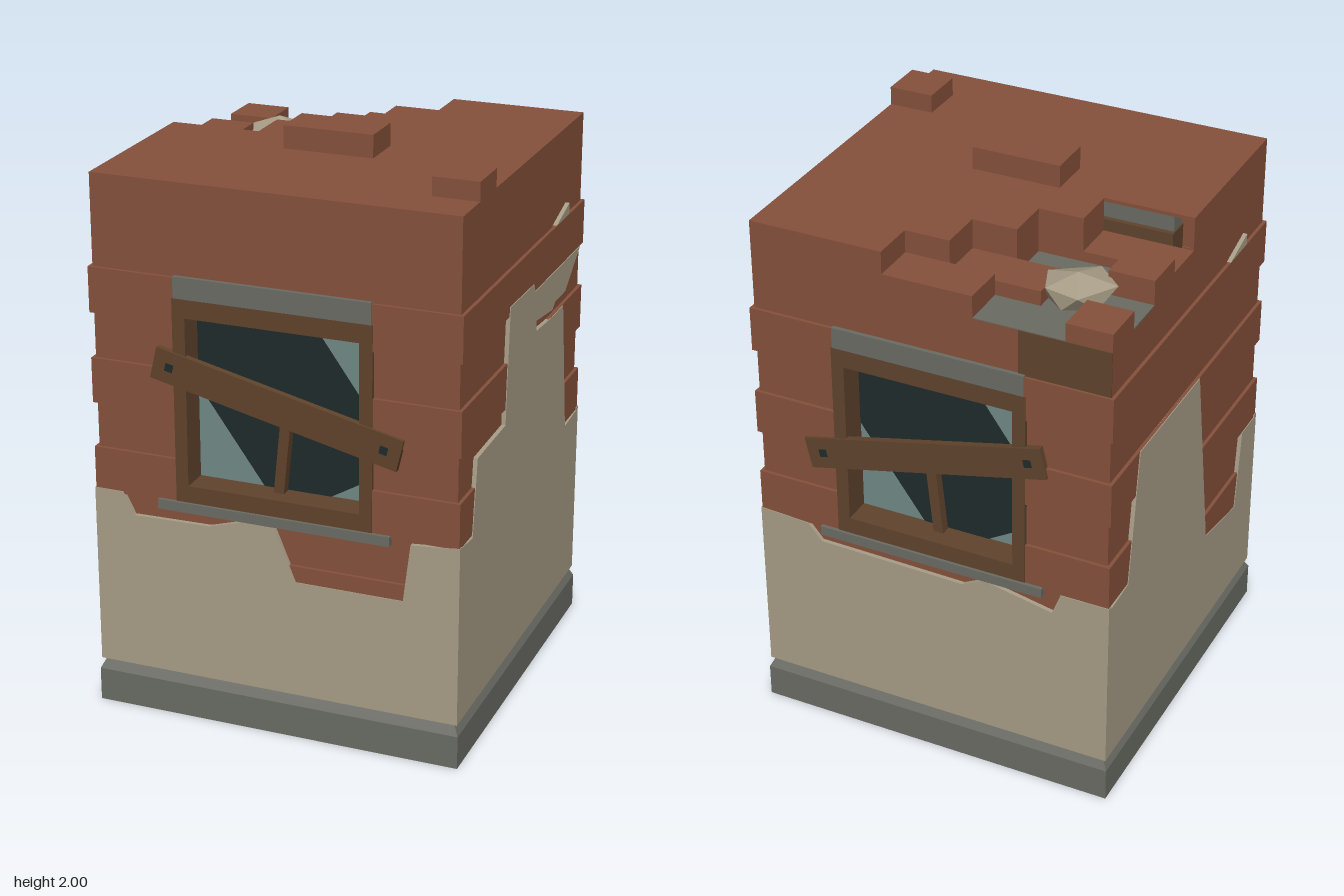
import * as THREE from 'three';
import { ConvexGeometry } from 'three/addons/geometries/ConvexGeometry.js';

const mat = (name, color) => new THREE.MeshStandardMaterial({ name, color });

export function createModel() {
  const root = new THREE.Group();
  root.name = 'ruinedBrickTower';
  const brick = mat('brick', 0x86513b);
  const plaster = mat('plaster', 0xa89d87);
  const stone = mat('grey stone', 0x6a6c64);
  const wood = mat('wood', 0x60432c);
  const darkGlass = mat('dark glass', 0x202b2b);
  const lightGlass = mat('light glass', 0x718986);

  const add = (name, geo, m, parent = root) => {
    const mesh = new THREE.Mesh(geo, m);
    mesh.name = name;
    parent.add(mesh);
    return mesh;
  };
  // box given by its low and high bounds on each axis
  const box = (name, m, [x0, x1], [y0, y1], [z0, z1], parent = root) => {
    const b = add(name, new THREE.BoxGeometry(x1 - x0, y1 - y0, z1 - z0), m, parent);
    b.position.set((x0 + x1) / 2, (y0 + y1) / 2, (z0 + z1) / 2);
    return b;
  };
  const shapeOf = pts => new THREE.Shape(pts.map(p => new THREE.Vector2(p[0], p[1])));
  const slab = (pts, depth) => new THREE.ExtrudeGeometry(shapeOf(pts), { depth, bevelEnabled: false });

  // thin square foundation skirt with a chamfered top edge, open below
  const ring = [[0.654, 0], [0.66, 0], [0.66, 0.12], [0.64, 0.16], [0.632, 0.16], [0.654, 0.118], [0.654, 0]]
    .map(([r, y]) => new THREE.Vector2(r * Math.SQRT2, y));
  const baseGeo = new THREE.LatheGeometry(ring, 4, Math.PI / 4).toNonIndexed();
  baseGeo.computeVertexNormals();
  add('foundation', baseGeo, stone);

  // thin brick courses, every other one standing slightly proud, open at the windows
  const H = 0.16;
  for (let k = 1; k <= 10; k++) {
    const proud = k % 2 === 1 && k > 1;
    const o = proud ? 0.652 : 0.64, i = proud ? 0.632 : 0.627;
    const y = [k * H, (k + 1) * H];
    const spans = k >= 5 && k <= 9 ? [[-i, -0.345], [0.345, i]] : [[-i, i]];
    for (const s of [-1, 1]) {
      const t = s > 0 ? [i, o] : [-o, -i];
      box('sideCourse', brick, t, y, [-o, o]);
      for (const span of spans) box('endCourse', brick, span, y, t);
    }
  }

  // top course and roof, whole on three quarters of the plan
  const W = 0.64, I = 0.627, top = [1.76, 1.92], skin = [1.907, 1.92];
  box('topFront', brick, [-W, W], top, [I, W]);
  box('topLeftSide', brick, [I, W], top, [-W, I]);
  box('topRightSide', brick, [-W, -I], top, [0, I]);
  box('topBack', brick, [0.16, I], top, [-W, -I]);
  box('roof', brick, [-I, I], skin, [0, I]);
  box('roof', brick, [0.16, I], skin, [-I, 0]);

  // broken quarter: where the full height starts, then the half-lost bricks [x0, x1, height]
  const rows = [
    { full: 0.16, bricks: [[-0.64, -0.48, 1.825], [-0.16, 0.16, 1.84]] },
    { full: 0, bricks: [[-0.32, 0, 1.815]] },
    { full: -0.16, bricks: [[-0.64, -0.48, 1.85]] },
    { full: -0.32, bricks: [[-0.64, -0.32, 1.8]] },
  ];
  rows.forEach(({ full, bricks }, r) => {
    const z = [-W + r * H, -W + (r + 1) * H];
    if (full < 0.16) box('roofBricks', brick, [full, 0.16], top, z);
    for (const [a, b, h] of bricks) box('brokenBrick', brick, [a, b], [1.76, h], z);
  });
  box('holeFloor', stone, [-0.63, -0.16], [1.74, 1.76], [-0.63, -0.16]);
  [[-0.48, -0.16, -0.64], [-0.64, -0.32, -0.48], [-0.48, -0.16, -0.32]].forEach(([a, b, z]) =>
    box('mortarBed', stone, [a, b], [1.757, 1.763], [z, z + H]));
  box('darkBrick', wood, [-0.64, -0.32], [1.6, 1.76], [-0.643, -0.637]);

  // loose bricks on the roof
  box('looseBrick', brick, [-0.16, 0.16], [1.92, 2], [0, 0.16]);
  box('looseHalfBrick', brick, [0.48, 0.64], [1.92, 1.985], [0.32, 0.48]);

  // rubble lying in the hole
  const rim = [[-0.533, -0.36], [-0.453, -0.495], [-0.33, -0.47], [-0.288, -0.36], [-0.432, -0.263]];
  const rock = [new THREE.Vector3(-0.41, 1.865, -0.395), new THREE.Vector3(-0.41, 1.73, -0.385)];
  rim.forEach(([x, z], n) => {
    const [u, v] = rim[(n + 1) % 5];
    rock.push(new THREE.Vector3(x, 1.825, z), new THREE.Vector3((x + u) / 2, 1.765, (z + v) / 2));
  });
  add('rubble', new ConvexGeometry(rock), plaster);

  // broken plaster: outlines in each wall's own plane, seen from outside
  const E = 0.655, foot = [[E, 0.16], [-E, 0.16]];
  const plasterWall = (turn, outlines) => {
    const g = new THREE.Group();
    g.name = 'plasterWall';
    g.rotation.y = turn;
    for (const pts of outlines) add('plaster', slab(pts, 0.02), plaster, g).position.z = E - 0.02;
    root.add(g);
  };
  plasterWall(0, [[...foot, [-E, 0.81], [-0.55, 0.81], [-0.51, 0.73], [-0.23, 0.735], [-0.08, 0.78],
    [0, 0.78], [0.08, 0.583], [0.46, 0.583], [0.485, 0.79], [E, 0.805]]]);
  plasterWall(Math.PI, [[...foot, [-E, 0.81], [-0.47, 0.8], [-0.42, 0.74], [0.12, 0.73], [0.2, 0.77],
    [0.45, 0.72], [0.48, 0.8], [E, 0.8]]]);
  const chip = [[0.31, 1.605], [0.455, 1.605], [0.455, 1.645]];
  plasterWall(Math.PI / 2, [[...foot, [-E, 0.805], [-0.53, 0.79], [-0.495, 1.06], [-0.21, 1.065],
    [-0.185, 1.475], [0.07, 1.47], [0.085, 1.44], [0.605, 1.44], [0.44, 1.325], [0.32, 1.325], [0.29, 1.305],
    [0.105, 1.328], [0.11, 1.29], [0.29, 1.278], [0.42, 1.278], [0.495, 0.79], [E, 0.8]], chip]);
  plasterWall(-Math.PI / 2, [[...foot, [-E, 0.79], [-0.5, 0.8], [-0.43, 1.28], [0.07, 1.28],
    [0.2, 0.55], [0.48, 0.5], [0.52, 0.8], [E, 0.8]], chip]);

  // boarded windows; m mirrors the leaning timbers
  const boardedWindow = (turn, m) => {
    const g = new THREE.Group();
    g.name = 'boardedWindow';
    g.rotation.y = turn;
    root.add(g);
    const outer = shapeOf([[-0.35, 0.8], [0.35, 0.8], [0.35, 1.53], [-0.35, 1.53]]);
    outer.holes.push(shapeOf([[-0.305, 0.87], [-0.305, 1.465], [0.305, 1.465], [0.305, 0.87]]));
    add('frame', new THREE.ExtrudeGeometry(outer, { depth: 0.115, bevelEnabled: false }), wood, g).position.z = 0.54;
    box('lintel', stone, [-0.345, 0.345], [1.53, 1.605], [0.56, 0.655], g);
    box('sill', stone, [-0.415, 0.415], [0.775, 0.81], [0.56, 0.665], g);
    box('pane', lightGlass, [-0.31, 0.31], [0.86, 1.47], [0.545, 0.555], g);
    const dark = [[-0.305, 1.465], [-0.305, 1.2], [-0.07, 0.87], [0.17, 0.87], [0.305, 0.95], [0.305, 1.19], [0.11, 1.465]];
    add('paneShade', slab(dark, 0.004), darkGlass, g).position.z = 0.554;
    const post = add('brokenBar', new THREE.BoxGeometry(0.036, 0.3, 0.035), wood, g);
    post.position.set(0.012 * m, 1.01, 0.58);
    post.rotation.z = -0.1 * m;
    const board = new THREE.Group();
    board.name = 'board';
    board.position.set(0.015 * m, 1.2, 0.651);
    board.rotation.z = -0.229 * m;
    g.add(board);
    add('plank', new THREE.BoxGeometry(0.89, 0.113, 0.024), wood, board);
    for (const s of [-1, 1])
      add('nail', new THREE.BoxGeometry(0.028, 0.028, 0.004), darkGlass, board).position.set(0.387 * s, 0, 0.0115);
  };
  boardedWindow(0, 1);
  boardedWindow(Math.PI, -1);

  return root;
}
